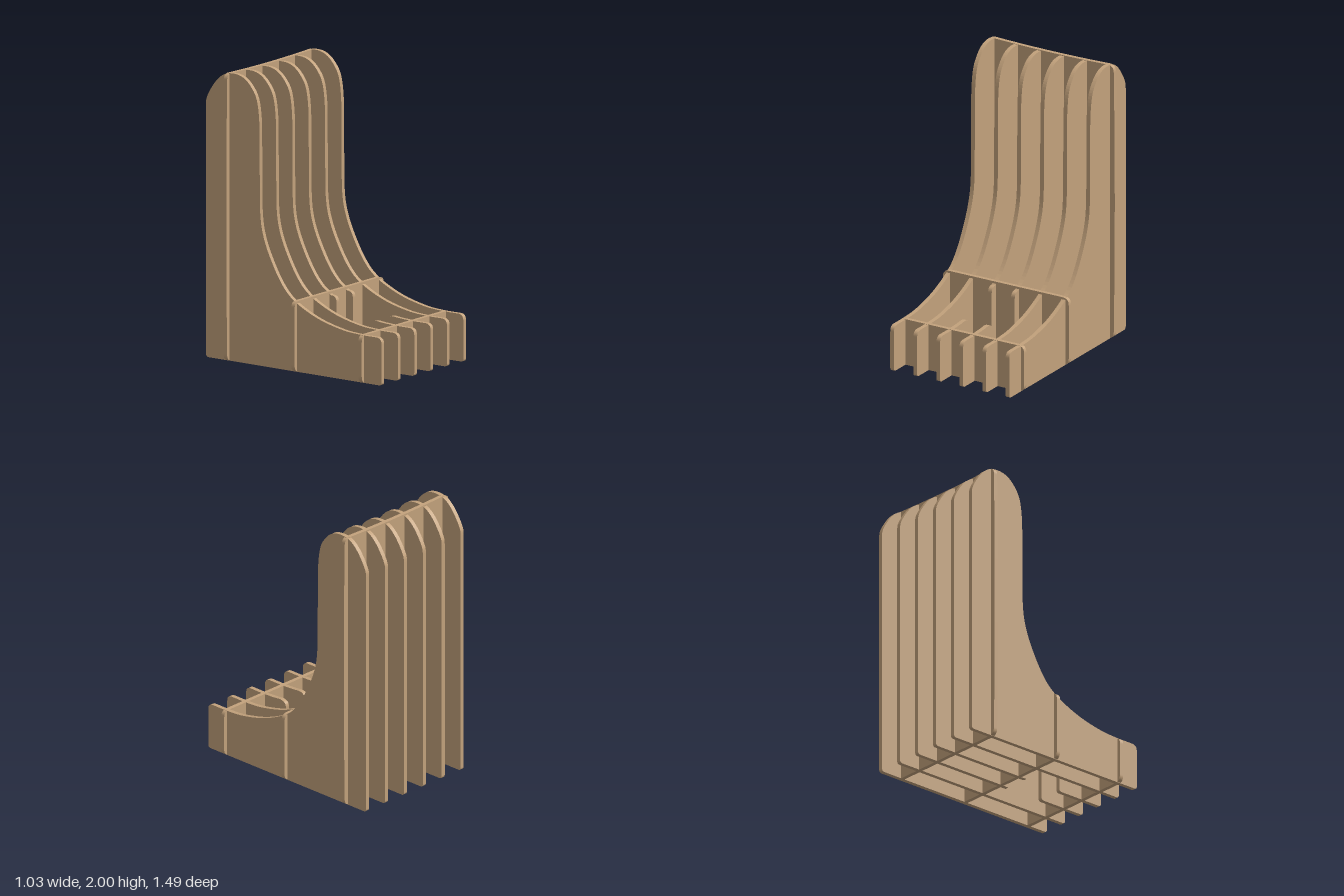
import * as THREE from 'three';

const wood = new THREE.MeshStandardMaterial({ color: 0xc3a27c });
wood.name = 'plywood';

const THICK = 0.03;

// Upper edge of a rib (z, y): seat front, sweep up the backrest, over the rounded head
function upperEdge(drop) {
  const pts = [
    [0.70, 0.33], [0.55, 0.331], [0.40, 0.345], [0.20, 0.395], [0.01, 0.485], [-0.10, 0.59],
    [-0.20, 0.76], [-0.26, 0.91], [-0.284, 1.05], [-0.288, 1.25], [-0.29, 1.5], [-0.293, 1.70],
    [-0.315, 1.845], [-0.365, 1.93], [-0.43, 1.983], [-0.51, 2.0], [-0.59, 1.985],
    [-0.655, 1.935], [-0.71, 1.86], [-0.74, 1.80], [-0.745, 1.76],
  ];
  const v = pts.map(([z, y]) => new THREE.Vector2(z, y - drop * THREE.MathUtils.smoothstep(y, 1.2, 2)));
  return new THREE.SplineCurve(v).getPoints(110);
}

// Rib outline between two z positions; cut ends get rounded corners
function ribShape(front, back, drop) {
  const r = 0.045, b = 0.022;
  const headEnd = back < -0.7;
  const edge = upperEdge(drop).filter(p => p.x <= front - r + 1e-6 && p.x >= (headEnd ? back : back + r));
  const first = edge[0], last = edge[edge.length - 1];
  const s = new THREE.Shape();
  s.moveTo(back + b, 0);
  s.lineTo(front - b, 0);
  s.quadraticCurveTo(front, 0, front, b);
  s.lineTo(front, first.y - r);
  s.quadraticCurveTo(front, first.y, first.x, first.y);
  edge.slice(1).forEach(p => s.lineTo(p.x, p.y));
  if (!headEnd) s.quadraticCurveTo(back, last.y, back, last.y - r);
  s.lineTo(back, b);
  s.quadraticCurveTo(back, 0, back + b, 0);
  return s;
}

// Upright cross panel: rounded corners, slight side bulge and sagging top
function panelShape(w, h, bulge, sag) {
  const r = 0.05;
  const s = new THREE.Shape();
  s.moveTo(-w + r, 0);
  s.lineTo(w - r, 0);
  s.quadraticCurveTo(w, 0, w, r);
  s.quadraticCurveTo(w + bulge * 2, h / 2, w, h - r);
  s.quadraticCurveTo(w, h, w - r, h);
  s.quadraticCurveTo(0, h - sag * 2, -w + r, h);
  s.quadraticCurveTo(-w, h, -w, h - r);
  s.quadraticCurveTo(-w - bulge * 2, h / 2, -w, r);
  s.quadraticCurveTo(-w, 0, -w + r, 0);
  return s;
}

function plate(name, shape, depth) {
  const geo = new THREE.ExtrudeGeometry(shape, { depth, bevelEnabled: false, curveSegments: 12 });
  geo.translate(0, 0, -depth / 2);
  const mesh = new THREE.Mesh(geo, wood);
  mesh.name = name;
  return mesh;
}

export function createModel() {
  const group = new THREE.Group();
  group.name = 'slattedChair';

  const addRib = (name, x, front, back, drop) => {
    const rib = plate(name, ribShape(front, back, drop), THICK);
    rib.geometry.rotateY(-Math.PI / 2);
    rib.position.x = x;
    group.add(rib);
  };

  // Lengthwise ribs; the inner pair is interrupted under the seat
  for (const side of [-1, 1]) {
    addRib('outerRib', side * 0.461, 0.745, -0.745, 0);
    addRib('middleRib', side * 0.276, 0.745, -0.745, 0.01);
    addRib('innerBackRib', side * 0.092, 0.085, -0.745, 0.015);
    addRib('innerFrontRib', side * 0.092, 0.745, 0.37, 0);
  }

  // Cross panels slotted through the ribs
  const panels = [
    ['backPanel', -0.558, 0.506, 1.996, 0.008, 0.016],
    ['middlePanel', 0.013, 0.503, 0.49, 0, 0],
    ['frontPanel', 0.583, 0.503, 0.332, 0, 0],
  ];
  for (const [name, z, w, h, bulge, sag] of panels) {
    const p = plate(name, panelShape(w, h, bulge, sag / 2), 0.029);
    p.position.z = z;
    group.add(p);
  }
  return group;
}
